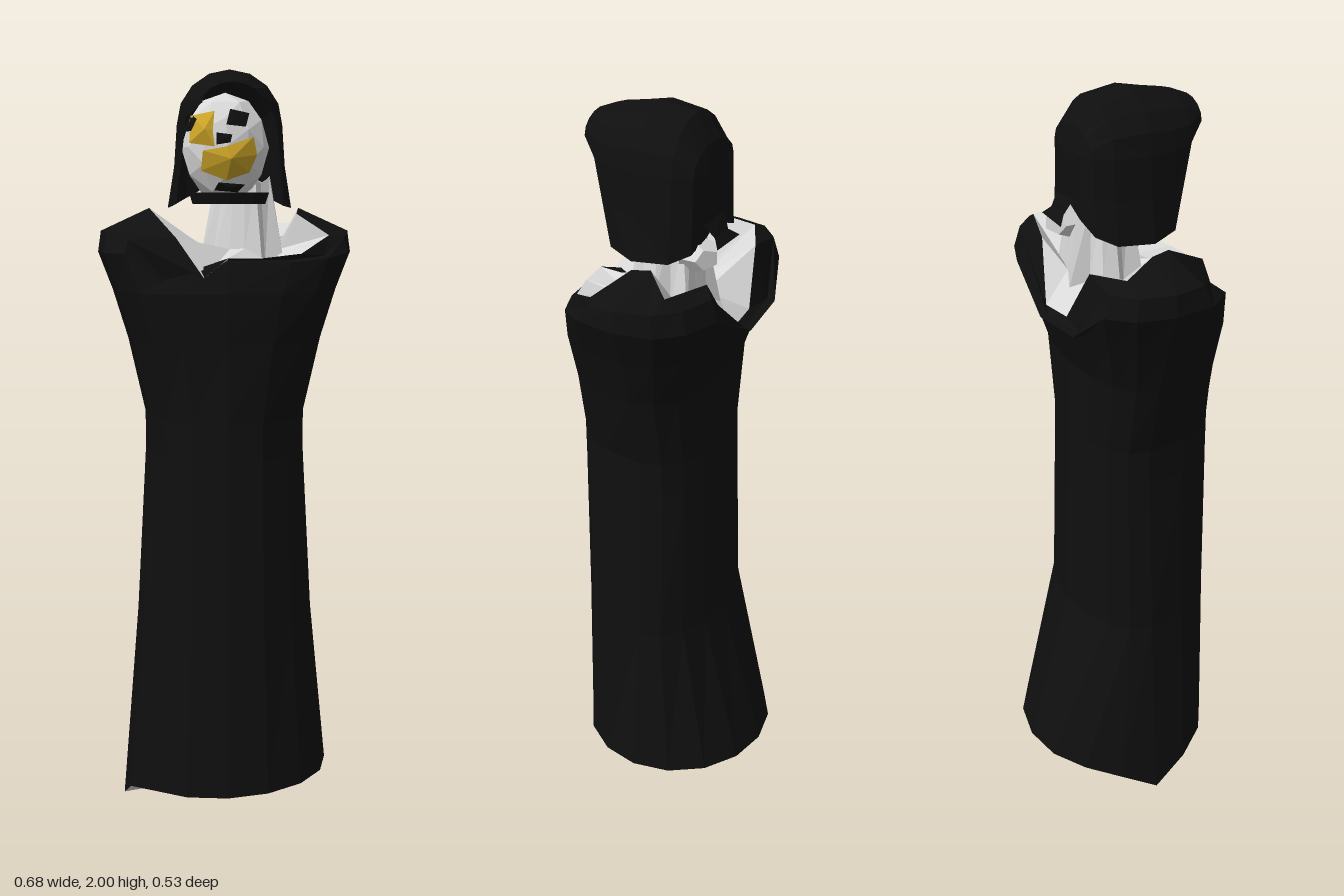
import * as THREE from 'three';

const material = (name, color, side = THREE.DoubleSide) => {
  const m = new THREE.MeshStandardMaterial({ color, side, flatShading: true });
  m.name = name;
  return m;
};

// Skin between rows of points; closed rows wrap around.
function loft(rows, closed = true) {
  const n = rows[0].length, index = [];
  for (let i = 0; i < rows.length - 1; i++) {
    for (let k = 0; k < (closed ? n : n - 1); k++) {
      const a = i * n + k, b = i * n + (k + 1) % n;
      index.push(a, b, b + n, a, b + n, a + n);
    }
  }
  const g = new THREE.BufferGeometry();
  g.setAttribute('position', new THREE.Float32BufferAttribute(rows.flat(2), 3));
  g.setIndex(index);
  g.computeVertexNormals();
  return g;
}

export function createModel() {
  const group = new THREE.Group();
  const black = material('black cloth', 0x0f0f0f);
  const pale = material('pale stone', 0xdadada);
  const gold = material('gold', 0xc9a227);
  const add = (name, geometry, mat) => {
    const mesh = new THREE.Mesh(geometry, mat);
    mesh.name = name;
    group.add(mesh);
    return mesh;
  };

  // Broken edge of the shoulders, from the front round by +x
  const rim = [
    [0, 1.52, 0.235], [0.09, 1.52, 0.225], [0.19, 1.53, 0.19], [0.27, 1.575, 0.1],
    [0.19, 1.63, 0.03], [0.2, 1.645, -0.03], [0.26, 1.61, -0.1], [0.12, 1.6, -0.14],
    [0.04, 1.45, -0.17], [-0.07, 1.46, -0.165], [-0.15, 1.6, -0.14], [-0.25, 1.61, -0.09],
    [-0.21, 1.64, 0], [-0.2, 1.645, 0.05], [-0.13, 1.57, 0.19], [-0.06, 1.47, 0.245],
  ];
  const N = rim.length;
  const bend = (v, p) => Math.sign(v) * Math.abs(v) ** p;

  // Robe: height, half width, front depth, back depth, squareness
  const rings = [
    [0.09, 0.285, 0.265, 0.27, 1], [0.55, 0.24, 0.262, 0.145, 0.95],
    [1.0, 0.215, 0.26, 0.135, 0.9], [1.1, 0.215, 0.26, 0.132, 0.9],
    [1.3, 0.26, 0.26, 0.13, 0.85], [1.43, 0.3, 0.262, 0.17, 0.8],
    [1.53, 0.338, 0.235, 0.205, 0.75], [1.585, 0.33, 0.18, 0.185, 0.75],
  ].map(([y, w, front, back, p], r) => rim.map((edge, k) => {
    const a = k / N * Math.PI * 2, s = bend(Math.sin(a), p), c = bend(Math.cos(a), p);
    let h = Math.min(y, edge[1] - 0.035 + r * 0.004);
    if (r === 0) h = k === 12 ? 0 : k === 11 || k === 13 ? 0.06 : 0.09 + 0.01 * s;
    return [w * s, h, c * (c > 0 ? front : back)];
  }));
  add('robe', loft([...rings, rim]), black);

  // Broken underside
  add('brokenBase', loft([rim.map(() => [-0.02, 0.045, 0]), rings[0]]), pale);

  // Broken inside of the shoulders, rising into the neck
  const neckRing = (r, y, wobble) => rim.map((_, k) => {
    const a = k / N * Math.PI * 2, q = r * (1 + wobble * Math.sin(k * 2.3));
    return [0.05 + q * Math.sin(a), y + 0.1 * wobble * Math.cos(k * 1.7), -0.01 + q * Math.cos(a)];
  });
  add('brokenShoulders', loft([rim, neckRing(0.1, 1.52, 0.2), neckRing(0.07, 1.72, 0.1)]), pale);

  // Hood: arches from back to brim: z, half width, top, bottom, flare
  const arches = [
    [-0.116, 0.0, 1.82, 1.73, 0], [-0.114, 0.06, 1.86, 1.7, 0.0],
    [-0.1, 0.105, 1.92, 1.67, 0.01], [-0.055, 0.13, 1.985, 1.65, 0.02],
    [0.04, 0.138, 2.0, 1.645, 0.025], [0.11, 0.13, 1.985, 1.66, 0.01],
    [0.165, 0.115, 1.975, 1.87, 0.0], [0.215, 0.075, 1.955, 1.905, 0],
  ].map(([z, w, top, low, flare]) => {
    const mid = Math.min(Math.max(1.86, low), top), row = [];
    const point = (x, y) => row.push([x + 0.012, y, z]);
    point(w + flare, low);
    point(w + flare * 0.3, (low + mid) / 2);
    for (let i = 0; i <= 8; i++) {
      const a = i / 8 * Math.PI;
      point(w * Math.cos(a), mid + (top - mid) * Math.sin(a));
    }
    point(-w - flare * 0.3, (low + mid) / 2);
    point(-w - flare, low);
    return row;
  });
  add('hood', loft(arches, false), black);

  // Torn flap behind the hood and the pale chunk beneath it
  add('hoodFlap', loft([
    [[-0.02, 1.75, -0.112], [0.09, 1.75, -0.1]],
    [[0.0, 1.7, -0.135], [0.07, 1.7, -0.135]],
    [[-0.025, 1.68, -0.155], [0.09, 1.68, -0.152]],
  ], false), black);
  const chunk = add('collarChunk', new THREE.DodecahedronGeometry(1), pale);
  chunk.scale.set(0.05, 0.045, 0.06);
  chunk.position.set(0.08, 1.655, -0.09);
  const scarf = add('chinCloth', new THREE.CylinderGeometry(0.11, 0.1, 0.03, 10), black);
  scarf.scale.z = 0.75;
  scarf.position.set(0.01, 1.67, 0.04);

  // Faceted face
  const face = add('face', new THREE.IcosahedronGeometry(1, 1), pale);
  face.scale.set(0.115, 0.14, 0.09);
  face.position.set(0, 1.8, 0.055);

  // Thin plates following the face
  const plate = (name, outline, mat, lift) => {
    const onFace = ([x, y], extra) => [x, y,
      0.055 + 0.09 * Math.sqrt(Math.max(0, 1 - (x / 0.115) ** 2 - ((y - 1.8) / 0.14) ** 2)) + extra];
    const centre = [0, 1].map(j => outline.reduce((s, p) => s + p[j], 0) / outline.length);
    add(name, loft([outline.map(p => onFace(p, 0.003)),
      outline.map(() => onFace(centre, lift))]), mat);
  };
  plate('goldCheek', [[-0.095, 1.81], [-0.03, 1.8], [-0.035, 1.84], [-0.03, 1.89], [-0.09, 1.88]], gold, 0.014);
  plate('goldMouth', [[-0.065, 1.74], [0.0, 1.715], [0.06, 1.735], [0.08, 1.78], [0.07, 1.825],
    [0.0, 1.8], [-0.06, 1.79]], gold, 0.016);
  plate('leftEye', [[0.0, 1.855], [0.05, 1.85], [0.06, 1.885], [0.01, 1.895]], black, 0.005);
  plate('rightEye', [[-0.11, 1.84], [-0.09, 1.84], [-0.075, 1.87], [-0.09, 1.885]], black, 0.005);
  plate('jawGap', [[-0.03, 1.69], [0.03, 1.685], [0.05, 1.705], [-0.02, 1.71]], black, 0.005);
  plate('cheekGap', [[-0.025, 1.805], [0.01, 1.81], [0.015, 1.83], [-0.025, 1.835]], black, 0.005);

  return group;
}
